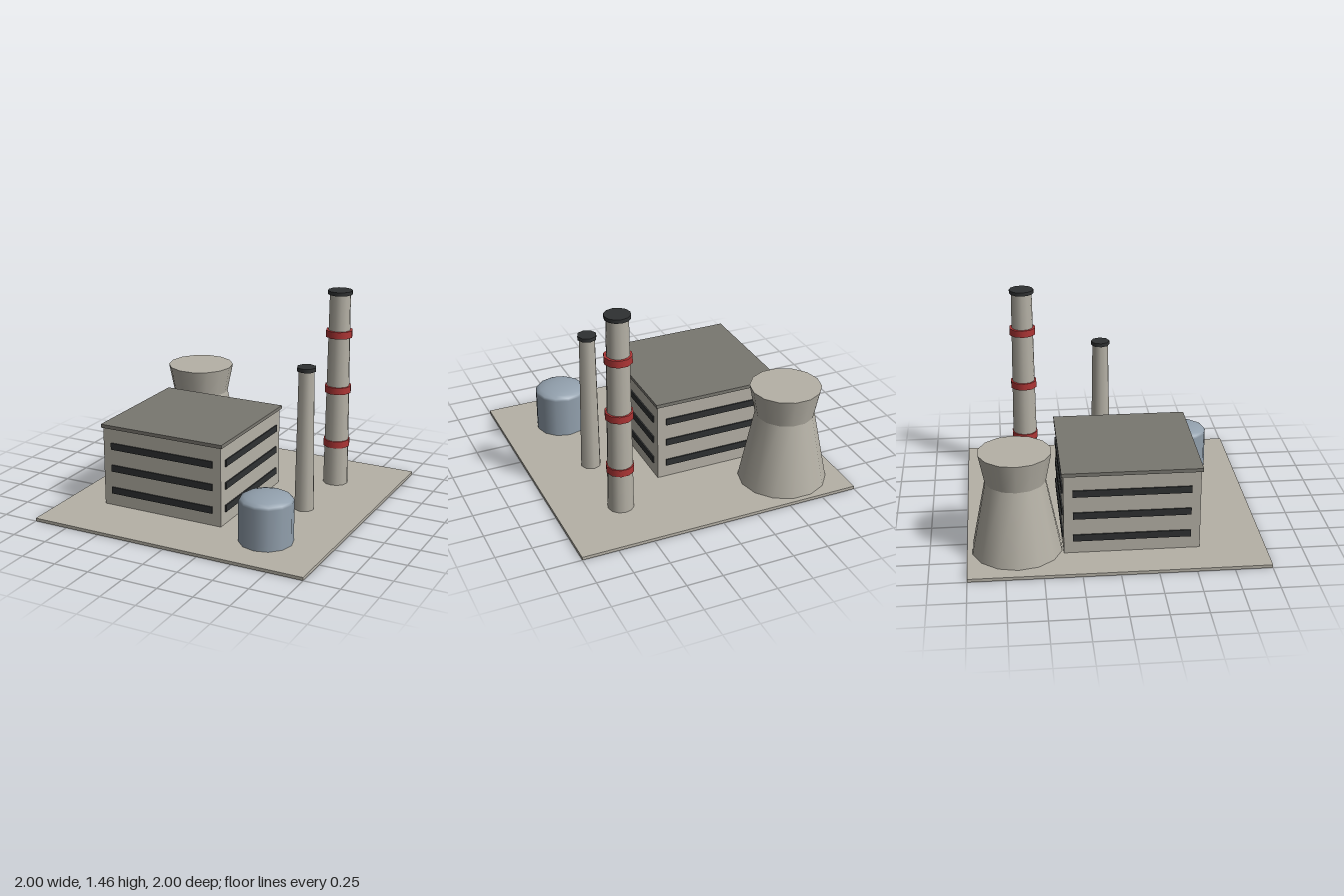
import * as THREE from 'three';

const mat = (name, color) => {
  const m = new THREE.MeshStandardMaterial({ color });
  m.name = name;
  return m;
};

export function createModel() {
  const concrete = mat('concrete', 0xb5b1a6);
  const roofGrey = mat('roof grey', 0x797770);
  const dark = mat('dark', 0x2f3132);
  const red = mat('warning red', 0xb03636);
  const steel = mat('steel blue', 0x92a0ad);

  const root = new THREE.Group();
  root.name = 'powerPlant';
  const GROUND = 0.022;

  const group = (name, x, z) => {
    const g = new THREE.Group();
    g.name = name;
    g.position.set(x, 0, z);
    root.add(g);
    return g;
  };
  const add = (parent, name, geo, material, x, y, z) => {
    const m = new THREE.Mesh(geo, material);
    m.name = name;
    m.position.set(x, y, z);
    parent.add(m);
    return m;
  };
  // Box between two heights
  const box = (parent, name, w, d, y0, y1, material, x = 0, z = 0) =>
    add(parent, name, new THREE.BoxGeometry(w, y1 - y0, d), material, x, (y0 + y1) / 2, z);
  // Tapered cylinder between two heights, with a corner on the x axis
  const drum = (parent, name, rBottom, rTop, y0, y1, sides, material) => {
    const geo = new THREE.CylinderGeometry(rTop, rBottom, y1 - y0, sides).rotateY(Math.PI / 2);
    return add(parent, name, geo, material, 0, (y0 + y1) / 2, 0);
  };

  // Ground slab
  box(root, 'ground', 2, 2, 0, GROUND, concrete);

  // Main hall with overhanging roof and window strips on all four walls
  const hall = group('hall', -0.26, 0.1);
  const W = 0.914;
  box(hall, 'hallBody', W, W, GROUND, 0.587, concrete);
  box(hall, 'hallRoof', 0.938, 0.938, 0.587, 0.612, roofGrey);
  const t = 0.0095;
  for (const y of [0.134, 0.298, 0.46]) {
    for (const s of [-1, 1]) {
      const off = s * (W + t) / 2;
      box(hall, 'windowStrip', 0.79, t, y - 0.024, y + 0.024, dark, 0, off);
      box(hall, 'windowStrip', t, 0.79, y - 0.024, y + 0.024, dark, off, 0);
    }
  }

  // Cooling tower: tapered skirt and flared top
  const tower = group('coolingTower', -0.612, -0.665);
  drum(tower, 'towerSkirt', 0.306, 0.204, GROUND, 0.532, 14, concrete);
  drum(tower, 'towerFlare', 0.204, 0.244, 0.532, 0.735, 14, concrete);

  // Tall chimney with red bands
  const tall = group('tallChimney', 0.56, -0.565);
  drum(tall, 'tallStack', 0.09, 0.074, GROUND, 1.432, 12, concrete);
  drum(tall, 'tallCap', 0.088, 0.088, 1.432, 1.458, 12, dark);
  for (const y of [0.335, 0.74, 1.149]) {
    drum(tall, 'redBand', 0.096, 0.096, y - 0.025, y + 0.025, 10, red);
  }

  // Short chimney
  const short = group('shortChimney', 0.56, 0);
  drum(short, 'shortStack', 0.072, 0.057, GROUND, 1.022, 8, concrete);
  drum(short, 'shortCap', 0.068, 0.068, 1.022, 1.049, 8, dark);

  // Storage tank with a low dome
  const tank = group('storageTank', 0.56, 0.611);
  drum(tank, 'tankBody', 0.184, 0.184, GROUND, 0.307, 12, steel);
  const dome = new THREE.SphereGeometry(0.184, 12, 5, 0, Math.PI * 2, 0, Math.PI / 2);
  dome.scale(1, 0.055 / 0.184, 1);
  add(tank, 'tankDome', dome, steel, 0, 0.307, 0);

  return root;
}
